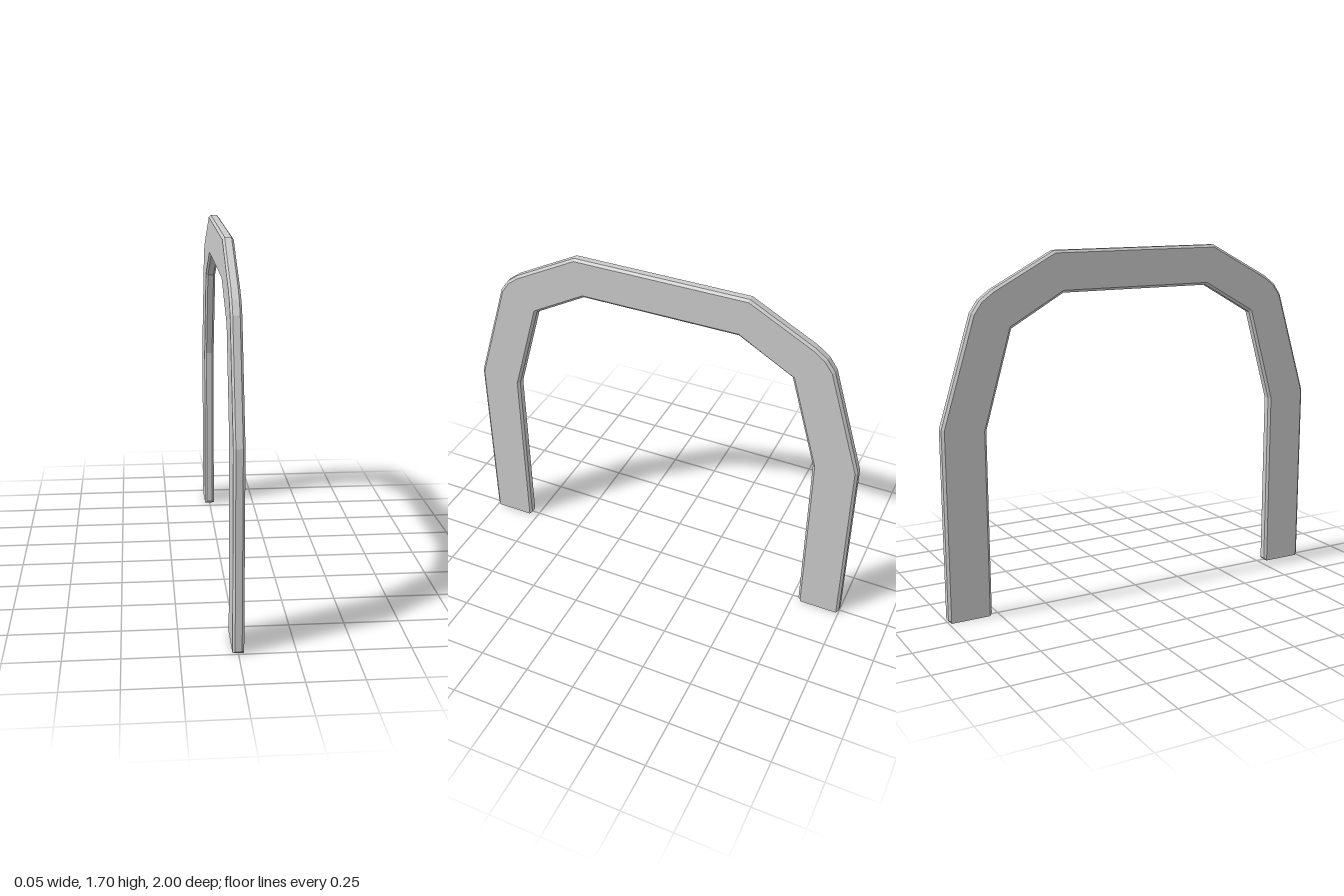
import * as THREE from 'three';

const HALF = 0.025;   // half thickness of the plate
const RIDGE = 0.015;  // half width of the rim between the chamfers
const BEVEL = 0.012;  // chamfer depth

// Stations up one leg to the crown: outer [z, y], inner [z, y]
const stations = [
  [[1, BEVEL], [0.785, BEVEL]],
  [[1, 0.92], [0.785, 0.895]],
  [[0.84, 1.436], [0.651, 1.356]],
  [[0.8, 1.492], [0.651, 1.356]],
  [[0.742, 1.535], [0.651, 1.356]],
  [[0.431, 1.7], [0.388, 1.505]],
];

// Eight-sided chamfered cross-section between an outer and an inner point
function section([outer, inner]) {
  const o = new THREE.Vector2(...outer), i = new THREE.Vector2(...inner);
  const inset = i.clone().sub(o).setLength(BEVEL);
  const oIn = o.clone().add(inset), iIn = i.clone().sub(inset);
  return [
    [-RIDGE, o], [RIDGE, o], [HALF, oIn], [HALF, iIn],
    [RIDGE, i], [-RIDGE, i], [-HALF, iIn], [-HALF, oIn],
  ].map(([x, p]) => new THREE.Vector3(x, p.y, p.x));
}

// Foot: the rims taper in to a rectangle on the ground
function footSection() {
  return section(stations[0]).map((p) => new THREE.Vector3(
    p.x, 0, THREE.MathUtils.clamp(p.z, 0.785 + BEVEL, 1 - BEVEL)));
}

function archGeometry() {
  const half = [footSection(), ...stations.map(section)];
  // Mirror in z, keeping the order of points around each section
  const mirrored = half.map((ring) => ring.map((p) => new THREE.Vector3(p.x, p.y, -p.z))).reverse();
  const rings = [...half, ...mirrored];
  const n = 8, index = [];
  for (let r = 0; r < rings.length - 1; r++) {
    for (let j = 0; j < n; j++) {
      const k = (j + 1) % n;
      const a = r * n + j, b = r * n + k, c = b + n, d = a + n;
      index.push(a, b, c, a, c, d);
    }
  }
  // Undersides of the two feet
  const last = (rings.length - 1) * n;
  for (let j = 1; j < n - 1; j++) {
    index.push(0, j + 1, j, last, last + j, last + j + 1);
  }
  const geometry = new THREE.BufferGeometry().setFromPoints(rings.flat());
  geometry.setIndex(index);
  const flat = geometry.toNonIndexed();
  flat.computeVertexNormals();
  return flat;
}

export function createModel() {
  const group = new THREE.Group();
  group.name = 'arch';
  const material = new THREE.MeshStandardMaterial({ color: 0xcccccc, flatShading: true });
  const frame = new THREE.Mesh(archGeometry(), material);
  frame.name = 'archFrame';
  group.add(frame);
  return group;
}
